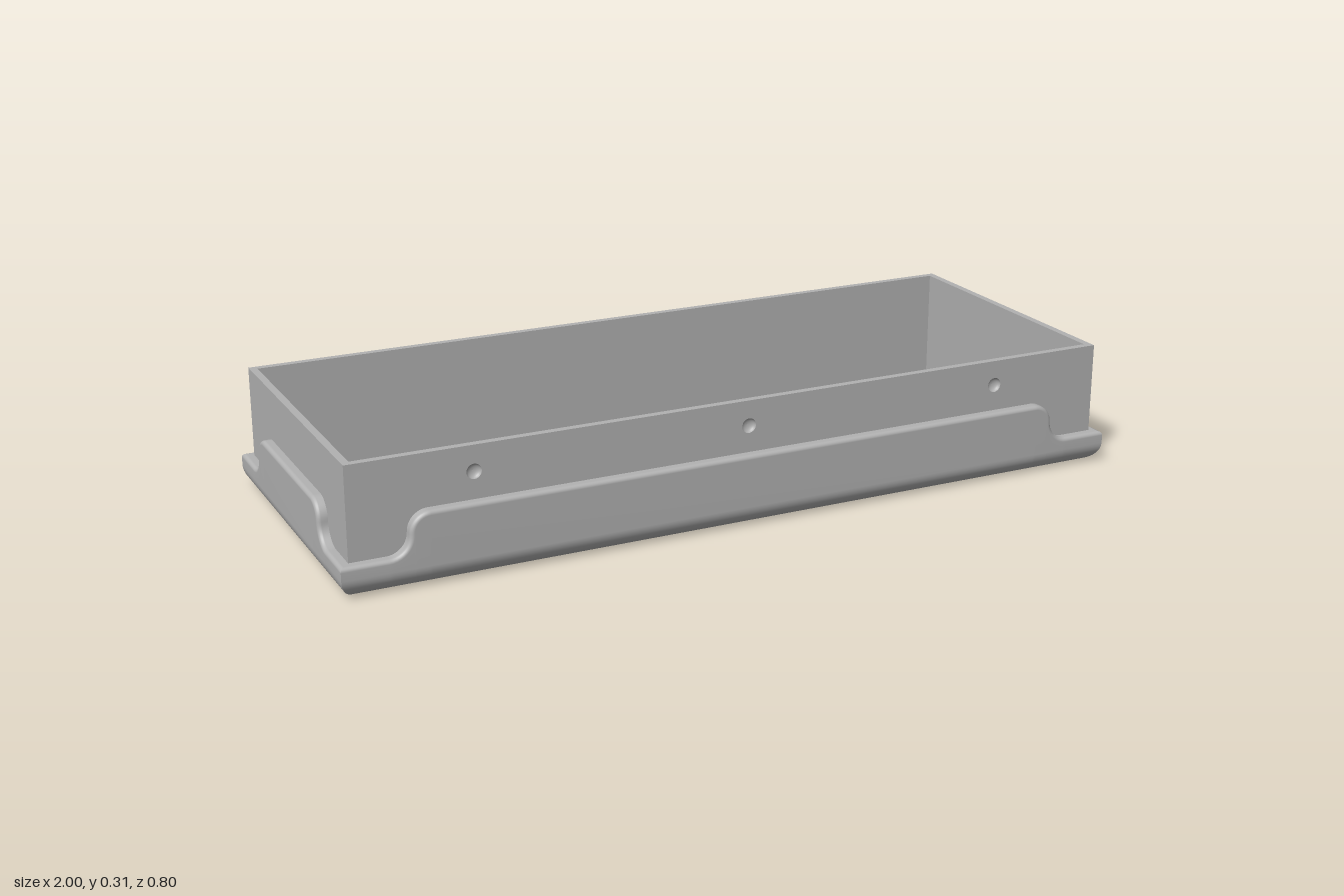
import * as THREE from 'three';

const HX = 1, HZ = 0.4;            // half size of the skirt
const SKIRT = 0.025, WALL = 0.018; // thicknesses
const HIGH = 0.178, LOW = 0.08;    // skirt heights: middle and corners
const TOP = 0.305, FLOOR = 0.03;
const FILLET = 0.05, LIP = 0.01;

// Top edge of one skirt side: points with normals pointing into the panel
function skirtProfile(half) {
  const r = (HIGH - LOW) / 2, mid = LOW + r, steps = 10;
  const c1 = half - 0.16 - r, c2 = c1 + 2 * r;
  const pts = [{ u: 0, y: HIGH, nu: 0, ny: -1 }];
  for (let i = 0; i <= steps; i++) {
    const a = Math.PI / 2 * (1 - i / steps), c = Math.cos(a), s = Math.sin(a);
    pts.push({ u: c1 + r * c, y: mid + r * s, nu: -c, ny: -s });
  }
  for (let i = 1; i <= steps; i++) {
    const a = Math.PI / 2 * i / steps, c = Math.cos(a), s = Math.sin(a);
    pts.push({ u: c2 - r * c, y: mid - r * s, nu: -c, ny: -s });
  }
  pts.push({ u: half, y: LOW, nu: 0, ny: -1, end: true });
  const left = pts.slice(1).reverse().map(p => ({ ...p, u: -p.u, nu: -p.nu }));
  return [...left, ...pts];
}

// One skirt side: rounded lip, flat face and bottom fillet, mitred at the ends
function skirtGeometry(half, dist) {
  const cols = skirtProfile(half), rows = [];
  rows.push({ inset: SKIRT, e: 0 });
  for (let i = 0; i <= 5; i++) {
    const a = Math.PI / 2 * i / 5;
    rows.push({ inset: LIP * (1 - Math.sin(a)), e: LIP * (1 - Math.cos(a)) });
  }
  for (let i = 0; i <= 10; i++) {
    const a = Math.PI / 2 * i / 10;
    rows.push({ inset: FILLET * (1 - Math.cos(a)), y: FILLET * (1 - Math.sin(a)) });
  }
  const pos = [], idx = [], n = cols.length;
  for (const row of rows) {
    for (const p of cols) {
      const e = row.y === undefined ? row.e : LIP;
      const u = p.end ? Math.sign(p.u) * (half - row.inset) : p.u + p.nu * e;
      pos.push(u, row.y === undefined ? p.y + p.ny * e : row.y, dist - row.inset);
    }
  }
  for (let i = 0; i < rows.length - 1; i++) {
    for (let j = 0; j < n - 1; j++) {
      const a = i * n + j, b = a + n;
      idx.push(a, b, b + 1, a, b + 1, a + 1);
    }
  }
  const g = new THREE.BufferGeometry();
  g.setAttribute('position', new THREE.Float32BufferAttribute(pos, 3));
  g.setIndex(idx);
  g.computeVertexNormals();
  return g;
}

export function createModel() {
  const model = new THREE.Group();
  model.name = 'tray';
  const grey = new THREE.MeshStandardMaterial({ color: 0xb2b2b2, side: THREE.DoubleSide });
  grey.name = 'grey';

  const add = (parent, name, geometry, x = 0, y = 0, z = 0) => {
    const m = new THREE.Mesh(geometry, grey);
    m.name = name;
    m.position.set(x, y, z);
    parent.add(m);
    return m;
  };

  // Scalloped skirt around the base
  ['front', 'left', 'back', 'right'].forEach((side, i) => {
    const g = i % 2 ? skirtGeometry(HZ, HX) : skirtGeometry(HX, HZ);
    add(model, side + 'Skirt', g).rotation.y = i * Math.PI / 2;
  });

  // Bottom and inner floor
  const bx = HX - SKIRT, bz = HZ - SKIRT;
  add(model, 'underside', new THREE.BoxGeometry(2 * (HX - FILLET), 0.02, 2 * (HZ - FILLET)), 0, 0.01, 0);
  add(model, 'floor', new THREE.BoxGeometry(2 * bx - WALL, 0.02, 2 * bz - WALL), 0, FLOOR - 0.01, 0);

  // Long walls with three shallow round dimples each
  const dimpleX = [-0.68, 0, 0.68], dimpleY = 0.243, dimpleR = 0.018, skin = 0.012;
  const y0 = 0.02, h = TOP - y0;
  const panel = new THREE.Shape([[-bx, y0], [bx, y0], [bx, TOP], [-bx, TOP]]
    .map(p => new THREE.Vector2(...p)));
  for (const x of dimpleX) {
    panel.holes.push(new THREE.Path().absarc(x, dimpleY, dimpleR, 0, Math.PI * 2, true));
  }
  const panelGeometry = new THREE.ExtrudeGeometry(panel, { depth: skin, bevelEnabled: false, curveSegments: 24 });
  const bowl = [];
  for (let i = 0; i <= 6; i++) {
    const a = Math.PI / 2 * i / 6;
    bowl.push(new THREE.Vector2(dimpleR * Math.sin(a), -(skin - 0.001) * Math.cos(a)));
  }
  const bowlGeometry = new THREE.LatheGeometry(bowl, 24).rotateX(Math.PI / 2);
  for (const side of ['front', 'back']) {
    const wall = new THREE.Group();
    wall.name = side + 'Wall';
    wall.rotation.y = side === 'front' ? 0 : Math.PI;
    add(wall, 'outerPanel', panelGeometry, 0, 0, bz - skin);
    add(wall, 'innerPanel', new THREE.BoxGeometry(2 * bx, h, WALL - skin), 0, y0 + h / 2, bz - (WALL + skin) / 2);
    for (const x of dimpleX) add(wall, 'dimple', bowlGeometry, x, dimpleY, bz);
    model.add(wall);
  }

  // Short end walls
  for (const s of [-1, 1]) {
    add(model, s > 0 ? 'leftWall' : 'rightWall',
      new THREE.BoxGeometry(WALL, h, 2 * (bz - WALL)), s * (bx - WALL / 2), y0 + h / 2, 0);
    // Flush strips that close the wall corners
    for (const t of [-1, 1]) {
      add(model, 'cornerPost', new THREE.BoxGeometry(WALL, h, WALL),
        s * (bx - WALL / 2), y0 + h / 2, t * (bz - WALL / 2));
    }
  }
  return model;
}
